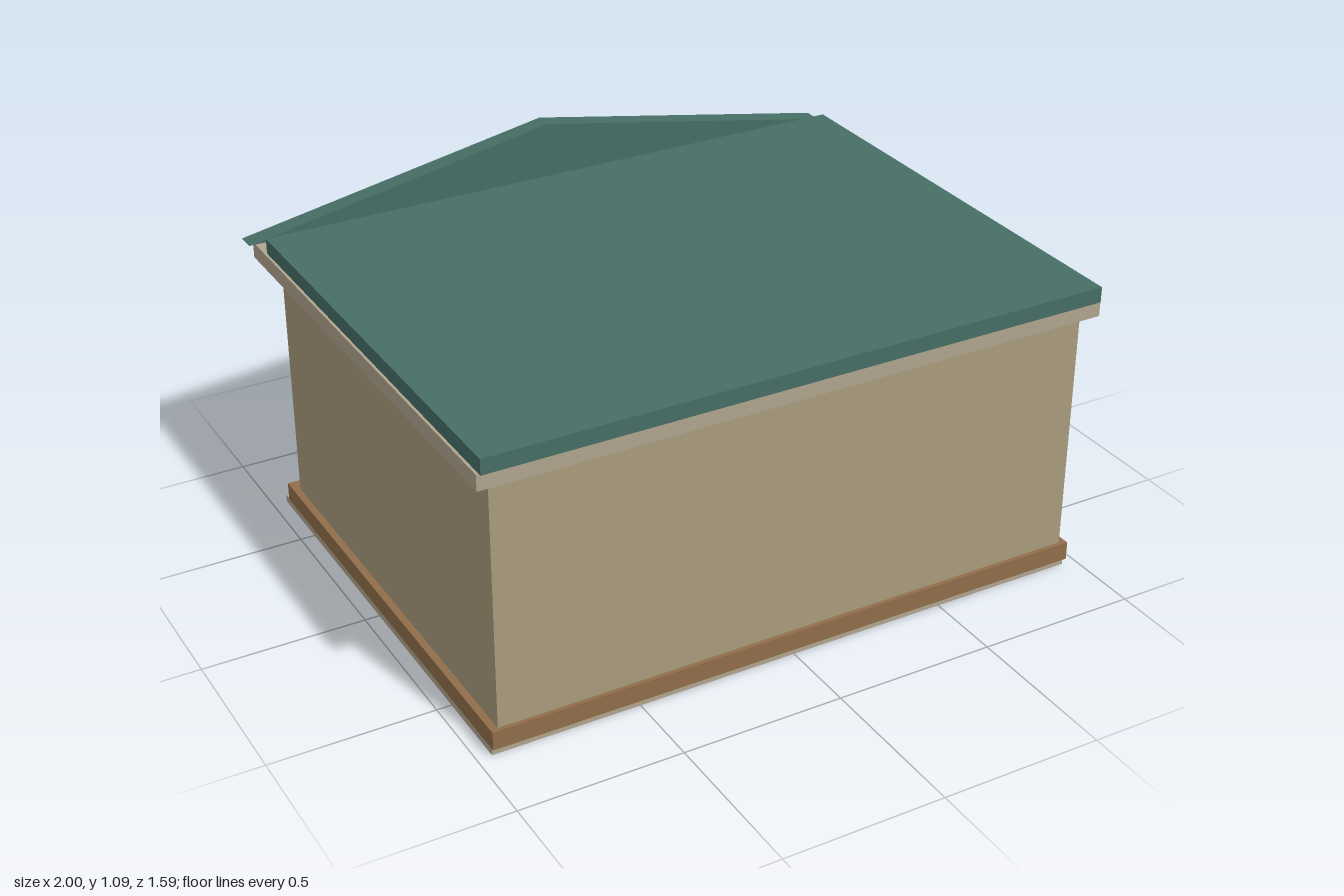
import * as THREE from 'three';

const mat = (color) => new THREE.MeshStandardMaterial({ color });
const stone = mat(0xb0a48e), wallMat = mat(0xa89a7c), wood = mat(0x8f6d49), roofMat = mat(0x476e65);
const doorMat = mat(0x648998), glassMat = mat(0x73938a), dark = mat(0x33383a), gold = mat(0xb8934a);
const leaf = mat(0x4c7a52), bronze = mat(0x6b5238);

export function createModel() {
  const root = new THREE.Group();

  const add = (name, geometry, material, x, y, z, parent = root) => {
    const mesh = new THREE.Mesh(geometry, material);
    mesh.name = name;
    mesh.position.set(x, y, z);
    parent.add(mesh);
    return mesh;
  };
  // Box given by its [min, max] ranges
  const box = (name, material, [x0, x1], [y0, y1], [z0, z1], parent = root) =>
    add(name, new THREE.BoxGeometry(x1 - x0, y1 - y0, z1 - z0), material,
      (x0 + x1) / 2, (y0 + y1) / 2, (z0 + z1) / 2, parent);
  const group = (name, x = 0) => {
    const g = new THREE.Group();
    g.name = name;
    g.position.x = x;
    root.add(g);
    return g;
  };

  // Main building
  box('foundation', stone, [-0.955, 0.955], [0, 0.025], [-0.73, 0.757]);
  box('plinth', wood, [-0.957, 0.957], [0.025, 0.083], [-0.7, 0.77]);
  box('walls', wallMat, [-0.935, 0.935], [0.083, 0.85], [-0.65, 0.757]);
  box('cornice', stone, [-0.98, 0.98], [0.85, 0.9], [-0.757, 0.787]);
  box('roof', roofMat, [-0.972, 0.972], [0.9, 0.948], [-0.662, 0.797]);

  // Triangular gable over the entrance side
  const tri = new THREE.Shape([[-1, 0.9], [1, 0.9], [0, 1.086]].map((p) => new THREE.Vector2(...p)));
  add('gable', new THREE.ExtrudeGeometry(tri, { depth: 0.06, bevelEnabled: false }), roofMat, 0, 0, -0.796);

  // Columns
  for (const x of [-0.885, -0.27, 0.27, 0.885])
    add('column', new THREE.CylinderGeometry(0.026, 0.026, 0.69, 24), stone, x, 0.425, -0.675);

  // Double door with frame and handles
  const door = group('door');
  for (const s of [-1, 1]) {
    const hx = [s * 0.225 - 0.018, s * 0.225 + 0.018];
    box('doorJamb', wood, hx, [0.083, 0.61], [-0.692, -0.64], door);
    box('doorLeaf', doorMat, s < 0 ? [-0.207, 0] : [0, 0.207], [0.083, 0.56], [-0.686, -0.64], door);
    box('doorHandle', bronze, [s * 0.11 - 0.008, s * 0.11 + 0.008], [0.225, 0.305], [-0.704, -0.684], door);
  }
  box('doorLintel', wood, [-0.243, 0.243], [0.56, 0.61], [-0.692, -0.64], door);

  // Panel above the door with a plain ornament
  const panel = group('entrancePanel');
  box('panelBoard', stone, [-0.27, 0.27], [0.67, 0.81], [-0.72, -0.7], panel);
  for (const s of [-1, 1])
    add('ornamentDisc', new THREE.CylinderGeometry(0.032, 0.032, 0.012, 24), gold, s * 0.036, 0.745, -0.724, panel)
      .rotation.x = Math.PI / 2;
  box('ornamentBar', dark, [-0.011, 0.011], [0.71, 0.782], [-0.736, -0.715], panel);

  for (const s of [-1, 1]) {
    // Window: frame with an opening, glass, mullion and sill
    const win = group('window', s * 0.665);
    const frame = new THREE.Shape([[-0.18, 0.3], [0.18, 0.3], [0.18, 0.665], [-0.18, 0.665]]
      .map((p) => new THREE.Vector2(...p)));
    frame.holes.push(new THREE.Path([[-0.152, 0.335], [-0.152, 0.635], [0.152, 0.635], [0.152, 0.335]]
      .map((p) => new THREE.Vector2(...p))));
    add('windowFrame', new THREE.ExtrudeGeometry(frame, { depth: 0.045, bevelEnabled: false }), wood, 0, 0, -0.685, win);
    box('windowGlass', glassMat, [-0.152, 0.152], [0.335, 0.635], [-0.67, -0.64], win);
    box('windowMullion', stone, [-0.006, 0.006], [0.335, 0.635], [-0.676, -0.66], win);
    box('windowSill', wood, [-0.19, 0.19], [0.295, 0.318], [-0.696, -0.64], win);

    // Planter with a round bush
    const planter = group('planter', s * 0.787);
    box('planterBox', wood, [-0.055, 0.055], [0, 0.13], [-0.765, -0.655], planter);
    add('bush', new THREE.SphereGeometry(0.062, 24, 16), leaf, 0, 0.157, -0.706, planter);

    // Downlights under the cornice
    for (const x of [0.45, 0.655])
      box('downlight', gold, [s * x - 0.035, s * x + 0.035], [0.84, 0.852], [-0.698, -0.683]);
  }
  return root;
}
